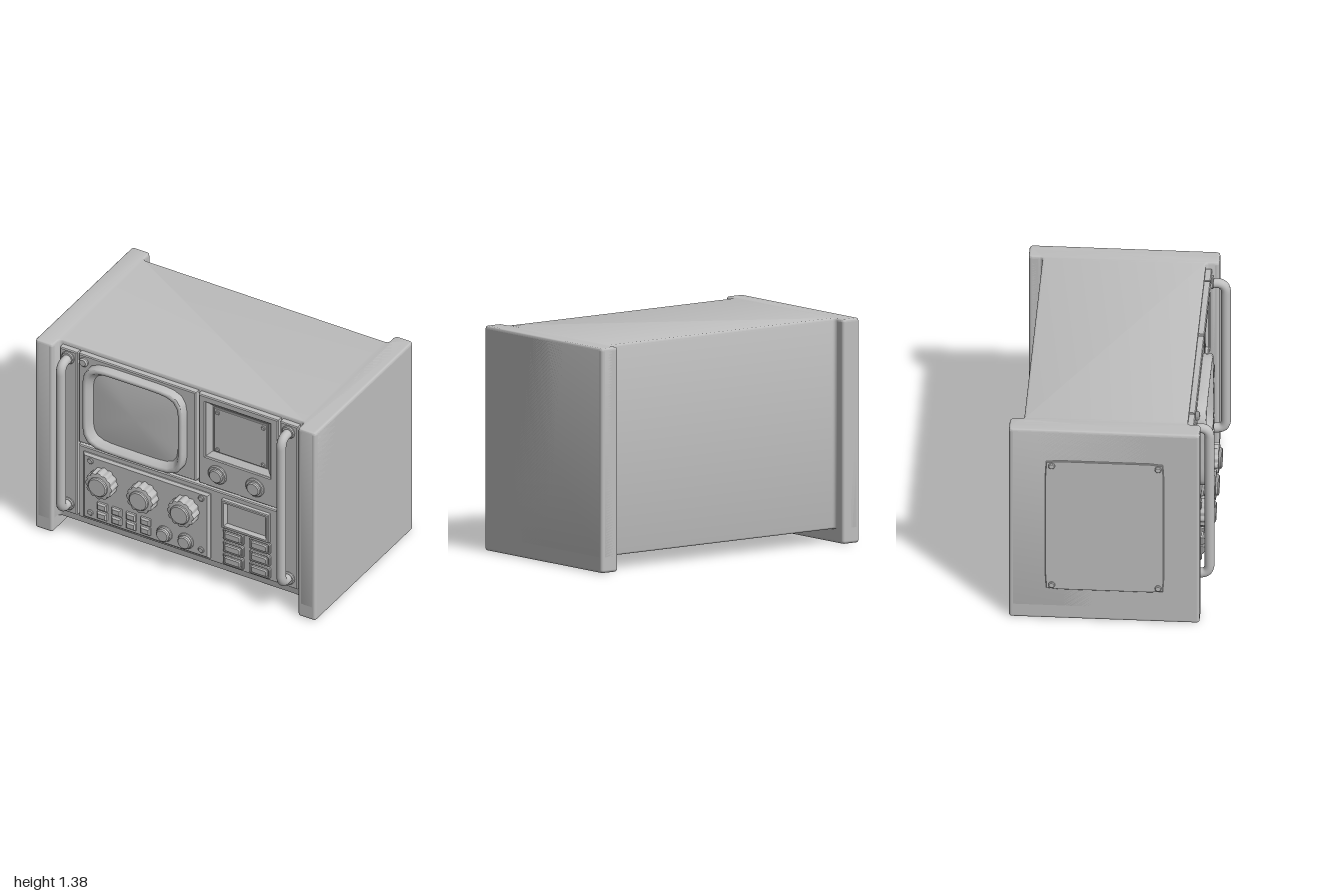
import * as THREE from 'three';
import { toCreasedNormals } from 'three/addons/utils/BufferGeometryUtils.js';
import { RoundedBoxGeometry } from 'three/addons/geometries/RoundedBoxGeometry.js';

const RECT = 200, SOFT = 9, ROUND = 2; // corner exponents: square, rounded, circle

// Stack of superellipse rings [halfWidth, halfHeight, z] joined into a skin, optionally capped
function loft(rings, n = RECT, cap = true) {
  const seg = n === RECT ? 4 : 48, pos = [], index = [];
  for (const [a, b, z] of rings) {
    for (let j = 0; j < seg; j++) {
      const t = Math.PI / 4 + (j / seg) * Math.PI * 2, c = Math.cos(t), s = Math.sin(t);
      const r = Math.pow(Math.abs(c) ** n + Math.abs(s) ** n, -1 / n);
      pos.push(a * r * c, b * r * s, z);
    }
  }
  for (let i = 0; i < rings.length - 1; i++) {
    for (let j = 0; j < seg; j++) {
      const p = i * seg + j, q = i * seg + (j + 1) % seg;
      index.push(p, q, q + seg, p, q + seg, p + seg);
    }
  }
  if (cap) {
    const last = (rings.length - 1) * seg, centre = pos.length / 3;
    pos.push(0, 0, rings[rings.length - 1][2]);
    for (let j = 0; j < seg; j++) index.push(last + j, last + (j + 1) % seg, centre);
  }
  const g = new THREE.BufferGeometry();
  g.setAttribute('position', new THREE.Float32BufferAttribute(pos, 3));
  g.setIndex(index);
  return toCreasedNormals(g, 0.6);
}

// Raised plate with a bevelled front edge
const plate = (w, h, z0, z1, b, n) =>
  loft([[w / 2, h / 2, z0], [w / 2, h / 2, z1 - b], [w / 2 - b, h / 2 - b, z1]], n);
const disc = (r, z0, z1, b) => plate(2 * r, 2 * r, z0, z1, b, ROUND);

// Rim around a sunken floor
const tray = (w, h, z0, z1, rim, slope, floor, n) => loft([
  [w / 2, h / 2, z0], [w / 2, h / 2, z1 - 0.005], [w / 2 - 0.005, h / 2 - 0.005, z1],
  [w / 2 - rim, h / 2 - rim, z1], [w / 2 - rim - slope, h / 2 - rim - slope, floor]], n);

// Closed outline with rounded corners
function roundedOutline(points, r) {
  const s = new THREE.Shape(), v = points.map(p => new THREE.Vector2(...p));
  v.forEach((p, i) => {
    const prev = v[(i + v.length - 1) % v.length], next = v[(i + 1) % v.length];
    const a = p.clone().add(prev.clone().sub(p).setLength(r));
    const b = p.clone().add(next.clone().sub(p).setLength(r));
    if (i) s.lineTo(a.x, a.y); else s.moveTo(a.x, a.y);
    s.quadraticCurveTo(p.x, p.y, b.x, b.y);
  });
  s.closePath();
  return s;
}

export function createModel() {
  const model = new THREE.Group();
  const grey = new THREE.MeshStandardMaterial({ color: 0xbfbfbf });
  grey.name = 'equipment grey';
  const add = (name, geometry, x = 0, y = 0, z = 0) => {
    const m = new THREE.Mesh(geometry, grey);
    m.name = name;
    m.position.set(x, y, z);
    model.add(m);
    return m;
  };

  // Cabinet: H-shaped plan with filleted inner corners, plus full-height side walls
  const X = 0.009, W = 0.988, I = 0.863, zb = -0.62, zf = 0.535, ib = -0.535, jf = 0.455;
  const plan = roundedOutline([[-W, zb], [-I, zb], [-I, ib], [I, ib], [I, zb], [W, zb],
    [W, zf], [I, zf], [I, jf], [-I, jf], [-I, zf], [-W, zf]], 0.025);
  const cabinet = new THREE.ExtrudeGeometry(plan, { depth: 1.266, bevelThickness: 0.012,
    bevelSize: 0.012, bevelOffset: -0.012, bevelSegments: 3, curveSegments: 6 });
  cabinet.rotateX(Math.PI / 2);
  add('cabinet', toCreasedNormals(cabinet, 0.6), X, 1.363, 0);
  for (const s of [-1, 1]) {
    add('sideWall', new RoundedBoxGeometry(W - I, 1.375, zf - zb, 3, 0.018),
      X + s * (W + I) / 2, 0.6875, (zf + zb) / 2);
  }

  // Access cover on the side, with four screws
  const cover = (name, g, z, y) => { add(name, g, X - W, y, z).rotation.y = -Math.PI / 2; };
  cover('sideCover', plate(0.72, 0.94, -0.005, 0.009, 0.004, 40), -0.04, 0.69);
  for (const z of [-0.36, 0.285]) for (const y of [0.255, 1.125]) {
    cover('coverScrew', disc(0.02, 0, 0.021, 0.005), z, y);
  }

  // Handles on mounting strips
  for (const s of [-1, 1]) {
    const x = X + s * 0.776;
    add('handleStrip', plate(0.122, 1.195, 0.45, 0.495, 0.006), x, 0.753);
    const V = (y, z) => new THREE.Vector3(0, y, z);
    const path = new THREE.CurvePath();
    path.add(new THREE.LineCurve3(V(0.23, 0.48), V(0.23, 0.525)));
    path.add(new THREE.QuadraticBezierCurve3(V(0.23, 0.525), V(0.23, 0.582), V(0.295, 0.582)));
    path.add(new THREE.LineCurve3(V(0.295, 0.582), V(1.225, 0.582)));
    path.add(new THREE.QuadraticBezierCurve3(V(1.225, 0.582), V(1.29, 0.582), V(1.29, 0.525)));
    path.add(new THREE.LineCurve3(V(1.29, 0.525), V(1.29, 0.48)));
    add('handle', new THREE.TubeGeometry(path, 160, 0.03, 16), x);
    for (const y of [0.225, 1.295]) add('handleCollar', disc(0.043, 0.49, 0.508, 0.006), x, y);
  }

  // Front panels
  add('screenPanel', plate(0.825, 0.65, 0.45, 0.495, 0.006), -0.282, 1.025);
  add('lowerPanel', plate(1.405, 0.53, 0.45, 0.495, 0.006), 0.008, 0.42);
  const meterPanel = new THREE.Shape([[0.156, 0.706], [0.704, 0.706], [0.704, 1.344], [0.156, 1.344]]
    .map(p => new THREE.Vector2(...p)));
  meterPanel.holes.push(new THREE.Path([[0.19, 0.9], [0.19, 1.31], [0.66, 1.31], [0.66, 0.9]]
    .map(p => new THREE.Vector2(...p))));
  add('meterPanel', new THREE.ExtrudeGeometry(meterPanel, { depth: 0.039, bevelThickness: 0.006,
    bevelSize: 0.006, bevelSegments: 1 }), 0, 0, 0.45);

  // Sunken meter bay with a screwed plate
  add('meterBay', loft([[0.242, 0.212, 0.494], [0.195, 0.167, 0.457]]), 0.425, 1.105);
  add('meterPlate', plate(0.375, 0.32, 0.455, 0.466, 0.003), 0.428, 1.105);
  for (const x of [0.268, 0.588]) for (const y of [0.965, 1.235]) {
    add('meterScrew', disc(0.014, 0.46, 0.474, 0.004), x, y);
  }
  for (const x of [0.285, 0.549]) {
    add('dialRing', disc(0.064, 0.49, 0.508, 0.006), x, 0.805);
    add('dialCap', disc(0.046, 0.5, 0.527, 0.007), x, 0.805);
  }

  // Picture tube: rounded bezel falling inwards to a domed glass
  const bezel = [[0.355, 0.3, 0.49], [0.355, 0.3, 0.54], [0.351, 0.296, 0.549], [0.343, 0.288, 0.554],
    [0.332, 0.277, 0.554], [0.324, 0.269, 0.549], [0.298, 0.245, 0.508]];
  add('screenBezel', loft(bezel, 6, false), -0.285, 1.025);
  const glass = [];
  for (let i = 0; i <= 6; i++) {
    const k = 1 - i / 6.5;
    glass.push([0.3 * k, 0.247 * k, 0.506 + 0.018 * (1 - k * k)]);
  }
  add('screenGlass', loft(glass, 6), -0.285, 1.025);
  add('indicatorLamp', disc(0.03, 0.49, 0.515, 0.009), -0.655, 1.302);

  // Control plate with corner screws
  add('controlPlate', plate(0.895, 0.475, 0.49, 0.516, 0.014), -0.208, 0.413);
  for (const x of [-0.598, 0.182]) for (const y of [0.23, 0.607]) {
    add('controlScrew', disc(0.02, 0.51, 0.525, 0.005), x, y);
  }

  // Scalloped rotary knobs
  const scallop = new THREE.Shape();
  for (let i = 0; i < 96; i++) {
    const t = (i / 96) * Math.PI * 2, r = 0.084 + 0.005 * Math.cos(12 * t);
    scallop[i ? 'lineTo' : 'moveTo'](r * Math.cos(t), r * Math.sin(t));
  }
  const knob = toCreasedNormals(new THREE.ExtrudeGeometry(scallop, { depth: 0.07,
    bevelThickness: 0.006, bevelSize: 0.006, bevelSegments: 2 }), 0.6);
  for (const x of [-0.5, -0.212, 0.076]) {
    add('knob', knob, x, 0.495, 0.512);
    add('knobCap', disc(0.065, 0.58, 0.606, 0.007), x, 0.495);
  }

  // Small push buttons and trim knobs
  for (const x of [-0.51, -0.408, -0.307, -0.205]) for (const y of [0.305, 0.24]) {
    add('pushButton', plate(0.068, 0.052, 0.51, 0.538, 0.01), x, y);
  }
  for (const x of [-0.075, 0.076]) {
    add('trimKnobBase', disc(0.053, 0.51, 0.53, 0.006), x, 0.26);
    add('trimKnob', disc(0.044, 0.525, 0.552, 0.007), x, 0.26);
  }

  // Small display and keypad
  add('displayFrame', tray(0.335, 0.205, 0.49, 0.522, 0.018, 0.014, 0.502), 0.492, 0.548);
  for (const x of [0.402, 0.588]) for (const y of [0.395, 0.305, 0.215]) {
    add('keyFrame', tray(0.145, 0.082, 0.49, 0.512, 0.01, 0.004, 0.5, SOFT), x, y);
    add('key', plate(0.112, 0.05, 0.495, 0.522, 0.007, SOFT), x, y);
  }

  for (const part of model.children) part.position.z += 0.005;
  return model;
}
